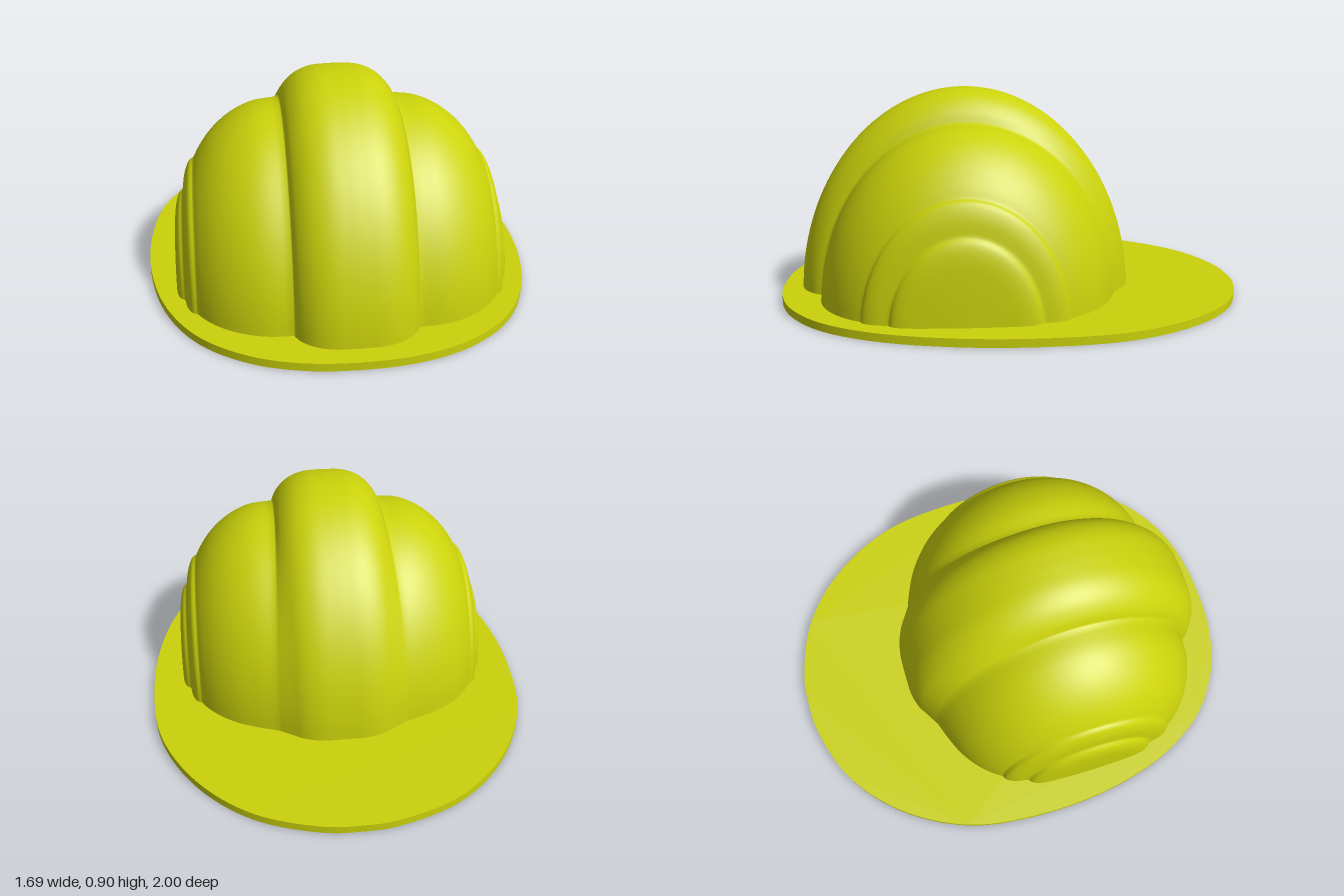
import * as THREE from 'three';

const material = new THREE.MeshStandardMaterial({ color: 0xcbd20a, side: THREE.DoubleSide });
const HEIGHT_RATIO = 1.25; // the shell is taller than it is deep
const BRIM_THICKNESS = 0.033;

// Half profiles [distance from middle, radius]; each row is one smooth stretch between creases.
const frontProfile = [
  [[0, 0.718], [0.1, 0.712], [0.17, 0.687], [0.22, 0.645], [0.243, 0.606]], // centre ridge
  [[0.243, 0.606], [0.35, 0.597], [0.45, 0.56], [0.53, 0.505], [0.585, 0.445], [0.608, 0.41]], // shoulder
  [[0.608, 0.41], [0.628, 0.398], [0.648, 0.36], [0.66, 0.3]], // outer side step
  [[0.66, 0.3], [0.678, 0.284], [0.692, 0.245], [0.7, 0.15], [0.704, 0]], // inner side step
];
// At the back the ridge melts softly into the shoulders.
const backProfile = [
  [[0, 0.719], [0.1, 0.716], [0.17, 0.697], [0.22, 0.668], [0.28, 0.632]],
  [[0.28, 0.632], [0.36, 0.604], [0.45, 0.563], [0.53, 0.505], [0.585, 0.445], [0.608, 0.41]],
  frontProfile[2],
  frontProfile[3],
];

// Samples a half profile and mirrors it to run from one side to the other.
function sampleProfile(rows) {
  const half = [];
  rows.forEach((row, k) => {
    const curve = new THREE.CatmullRomCurve3(row.map(([u, r]) => new THREE.Vector3(u, r, 0)));
    const pts = curve.getPoints(18);
    half.push(...(k ? pts.slice(1) : pts));
  });
  const mirrored = half.slice(1).reverse().map((p) => new THREE.Vector3(-p.x, p.y, 0));
  return [...mirrored, ...half];
}

// Shell: the profile swept over a half turn from front to back, standing on the brim.
function makeShell() {
  const front = sampleProfile(frontProfile);
  const back = sampleProfile(backProfile);
  const steps = 96;
  const positions = [];
  const index = [];
  for (let i = 0; i < front.length; i++) {
    for (let j = 0; j <= steps; j++) {
      const angle = (j / steps) * Math.PI;
      const blend = THREE.MathUtils.smoothstep(angle, Math.PI * 0.5, Math.PI * 0.95);
      const p = front[i].clone().lerp(back[i], blend);
      const y = Math.max(p.y * HEIGHT_RATIO * Math.sin(angle), BRIM_THICKNESS + 0.001);
      positions.push(p.x, y, p.y * Math.cos(angle));
      if (i < front.length - 1 && j < steps) {
        const a = i * (steps + 1) + j;
        const b = a + steps + 1;
        index.push(a, b, a + 1, b, b + 1, a + 1);
      }
    }
  }
  const geometry = new THREE.BufferGeometry();
  geometry.setAttribute('position', new THREE.Float32BufferAttribute(positions, 3));
  geometry.setIndex(index);
  geometry.computeVertexNormals();
  return geometry;
}

// Egg-shaped brim outline, longer at the back, scaled about its middle.
function brimOutline(scale) {
  const middle = -0.2;
  const half = [
    [0, -1.2], [0.14, -1.19], [0.405, -1.095], [0.62, -0.905], [0.775, -0.626], [0.826, -0.314],
    [0.812, 0.04], [0.73, 0.355], [0.598, 0.572], [0.415, 0.712], [0.22, 0.78], [0, 0.8],
  ];
  const mirrored = half.slice(1, -1).reverse().map(([x, z]) => [-x, z]);
  const curve = new THREE.CatmullRomCurve3([...half, ...mirrored].map(([x, z]) =>
    new THREE.Vector3(x * scale, -(middle + (z - middle) * scale), 0)), true);
  return curve.getPoints(176).slice(0, -1).map((p) => new THREE.Vector2(p.x, p.y));
}

// Edge of the brim: an upright band around the outline.
function makeBrimEdge(outline) {
  const loop = [...outline, outline[0]];
  const positions = loop.flatMap((p) => [p.x, 0, -p.y, p.x, BRIM_THICKNESS, -p.y]);
  const index = outline.flatMap((_, i) => {
    const a = i * 2;
    return [a, a + 2, a + 1, a + 2, a + 3, a + 1];
  });
  const geometry = new THREE.BufferGeometry();
  geometry.setAttribute('position', new THREE.Float32BufferAttribute(positions, 3));
  geometry.setIndex(index);
  geometry.computeVertexNormals();
  return geometry;
}

export function createModel() {
  const model = new THREE.Group();
  model.name = 'hardHat';

  // The whole hat is turned slightly about the vertical.
  const hat = new THREE.Group();
  hat.name = 'turnedHat';
  hat.position.set(0.035, 0, 0.195);
  hat.rotation.y = 0.164;
  model.add(hat);

  const add = (name, geometry) => {
    const mesh = new THREE.Mesh(geometry, material);
    mesh.name = name;
    hat.add(mesh);
    return mesh;
  };

  add('shell', makeShell());

  // Brim: full top plate, outer edge, and an underside ring open in the middle.
  const outline = brimOutline(1);
  const top = new THREE.ShapeGeometry(new THREE.Shape(outline)).rotateX(-Math.PI / 2);
  add('brimTop', top).position.y = BRIM_THICKNESS;
  add('brimEdge', makeBrimEdge(outline));
  const ring = new THREE.Shape(outline);
  ring.holes.push(new THREE.Path(brimOutline(0.71)));
  const underside = new THREE.ShapeGeometry(ring).rotateX(-Math.PI / 2);
  // Turn the faces over so the ring looks down.
  underside.setIndex([...underside.index.array].reverse());
  underside.computeVertexNormals();
  add('brimUnderside', underside);
  return model;
}
